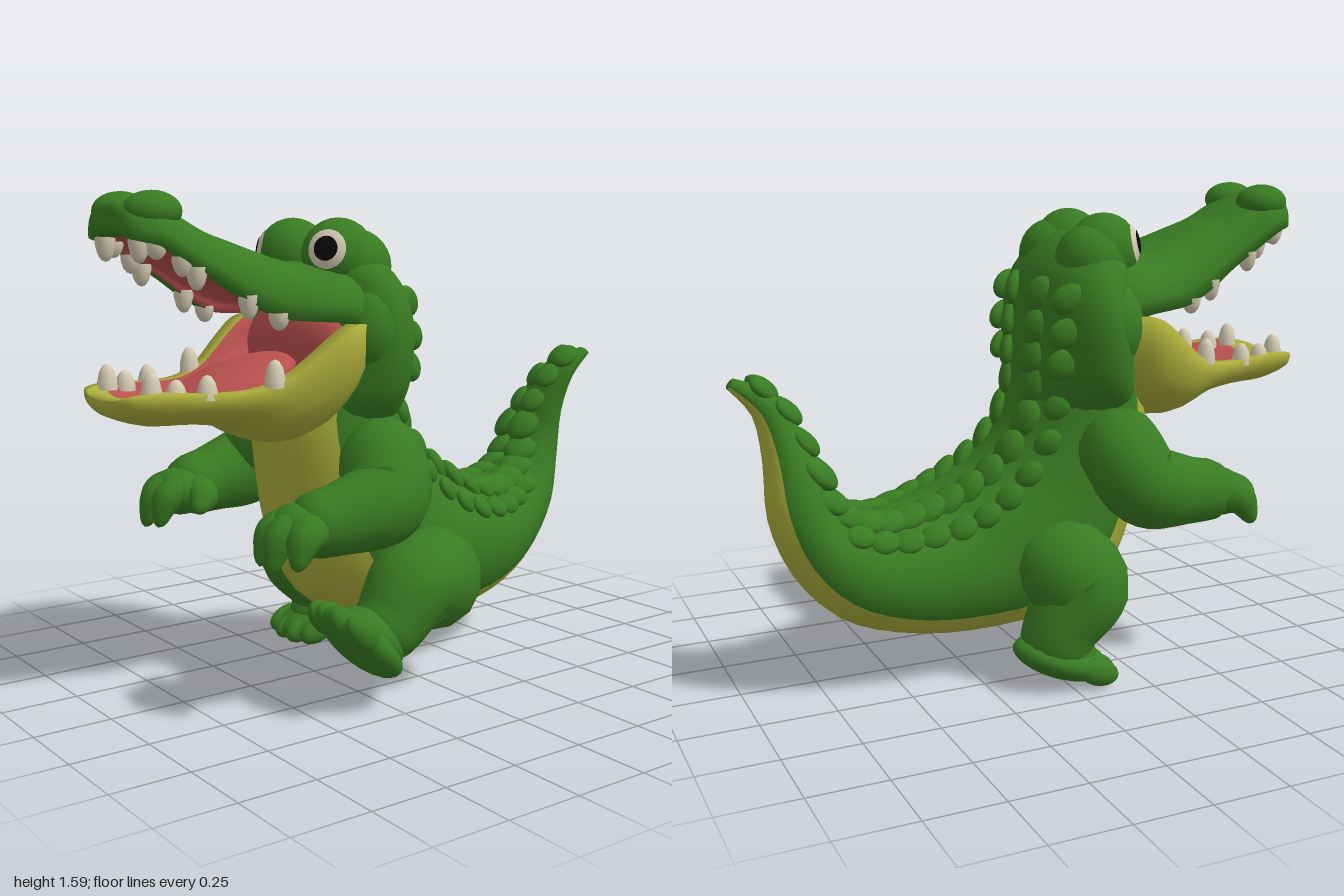
import * as THREE from 'three';
import { mergeVertices } from 'three/addons/utils/BufferGeometryUtils.js';

const mat = (name, color) => Object.assign(new THREE.MeshStandardMaterial({ color }), { name });
const V = (x, y, z) => new THREE.Vector3(x, y, z);

export function createModel() {
  const root = new THREE.Group();
  root.name = 'alligator';
  const green = mat('green skin', 0x397b22), yellow = mat('yellow belly', 0xacae3b),
    red = mat('red mouth', 0xb9504e), ivory = mat('ivory', 0xd6ccb4), black = mat('black', 0x0a0a0a);

  const add = (name, geo, material, parent = root) => {
    const m = new THREE.Mesh(geo, material);
    m.name = name;
    parent.add(m);
    return m;
  };
  const ball = (name, p, s, material, parent) => {
    const m = add(name, new THREE.SphereGeometry(1, 20, 14), material, parent);
    m.position.set(...p);
    m.scale.set(...s);
    return m;
  };

  // Smooth interpolation of table rows at a fractional row index
  const rowAt = (rows, t) => {
    const last = rows.length - 1, i = Math.min(Math.floor(t), last - 1), f = t - i;
    const at = k => rows[Math.max(0, Math.min(last, k))];
    return rows[0].map((_, k) => {
      const a = at(i - 1)[k], b = at(i)[k], c = at(i + 1)[k], d = at(i + 2)[k];
      return b + 0.5 * f * (c - a + f * (2 * a - 5 * b + 4 * c - d + f * (3 * (b - c) + d - a)));
    });
  };
  const ringsOf = (rows, ring, steps = 3) => {
    const n = (rows.length - 1) * steps;
    return Array.from({ length: n + 1 }, (_, i) => ring(rowAt(rows, i / steps)));
  };

  // Skin over closed rings; isSecond picks the faces of the second material
  const loft = (rings, isSecond = () => false) => {
    const n = rings[0].length, pts = rings.flat(), sets = [[], []];
    for (let i = 0; i < rings.length - 1; i++) for (let j = 0; j < n; j++) {
      const k = (j + 1) % n, a = i * n + j, b = i * n + k, c = a + n, d = b + n;
      sets[isSecond(j, i) ? 1 : 0].push(a, b, c, b, d, c);
    }
    [0, rings.length - 1].forEach((i, end) => {
      const mid = rings[i].reduce((s, p) => s.add(p), V(0, 0, 0)).divideScalar(n);
      pts.push(mid);
      for (let j = 0; j < n; j++) {
        const a = i * n + j, b = i * n + (j + 1) % n, c = pts.length - 1;
        sets[0].push(...(end ? [a, b, c] : [b, a, c]));
      }
    });
    const index = sets.flat();
    let volume = 0;
    for (let i = 0; i < index.length; i += 3)
      volume += pts[index[i]].dot(V(0, 0, 0).crossVectors(pts[index[i + 1]], pts[index[i + 2]]));
    if (volume < 0) for (let i = 0; i < index.length; i += 3)
      [index[i], index[i + 1]] = [index[i + 1], index[i]];
    const g = new THREE.BufferGeometry().setFromPoints(pts);
    g.setIndex(index);
    g.addGroup(0, sets[0].length, 0);
    g.addGroup(sets[0].length, sets[1].length, 1);
    g.computeVertexNormals();
    return g;
  };

  // Ellipse spanning a back point and a belly point: [zBack, yBack, zBelly, yBelly, halfWidth, x]
  const SEG = 24;
  const onEllipse = ([zb, yb, zf, yf, w, x], a) => V(x + w * Math.sin(a),
    (yb + yf) / 2 + (yb - yf) / 2 * Math.cos(a), (zb + zf) / 2 + (zb - zf) / 2 * Math.cos(a));
  const ellipse = row => Array.from({ length: SEG }, (_, j) => onEllipse(row, j / SEG * Math.PI * 2));

  // Trunk and tail
  const bodyRows = [
    [0.02, 1.10, 0.38, 1.00, 0.26, 0], [-0.02, 0.97, 0.43, 0.87, 0.27, 0],
    [-0.07, 0.82, 0.42, 0.70, 0.29, 0], [-0.17, 0.71, 0.38, 0.47, 0.30, 0],
    [-0.27, 0.65, 0.28, 0.27, 0.31, 0], [-0.36, 0.61, 0.06, 0.15, 0.30, 0],
    [-0.45, 0.59, -0.25, 0.13, 0.27, -0.02], [-0.54, 0.58, -0.50, 0.17, 0.23, -0.05],
    [-0.63, 0.60, -0.70, 0.26, 0.19, -0.08], [-0.71, 0.65, -0.84, 0.42, 0.16, -0.1],
    [-0.75, 0.76, -0.91, 0.60, 0.125, -0.11], [-0.79, 0.88, -0.91, 0.78, 0.09, -0.07],
    [-0.86, 0.995, -0.925, 0.92, 0.065, -0.02], [-0.97, 1.04, -0.995, 1.01, 0.025, 0.015]];
  add('trunkAndTail', loft(ringsOf(bodyRows, ellipse), j => Math.cos((j + 0.5) / SEG * Math.PI * 2) < -0.5),
    [green, yellow]);

  // Skull
  const skullRows = [
    [0.16, 1.46, 0.26, 1.44, 0.1, 0], [0.09, 1.41, 0.32, 1.37, 0.25, 0],
    [0.03, 1.33, 0.32, 1.28, 0.33, 0], [0.0, 1.22, 0.33, 1.17, 0.37, 0],
    [-0.01, 1.10, 0.34, 1.04, 0.365, 0], [-0.02, 1.0, 0.36, 0.93, 0.33, 0],
    [-0.03, 0.9, 0.36, 0.85, 0.25, 0]];
  add('skull', loft(ringsOf(skullRows, ellipse)), green);
  for (const s of [1, -1]) ball('cheek', [s * 0.24, 1.17, 0.2], [0.125, 0.15, 0.11], green);

  // Jaws: hollow troughs with rows [z, lip y, outer y, inner y, halfWidth]
  const ARC = 16;
  const trough = ([z, lip, out, inn, w]) => {
    const half = (width, y, dir) => Array.from({ length: ARC + 1 }, (_, j) => {
      const a = (dir > 0 ? j : ARC - j) / ARC * Math.PI, c = Math.cos(a);
      return V(width * Math.sign(c) * Math.abs(c) ** 0.8, lip + (y - lip) * Math.abs(Math.sin(a)) ** 0.8, z);
    });
    return [...half(w, out, 1), ...half(w * 0.8, inn, -1)];
  };
  const inside = (j, i) => j > ARC && j < 2 * ARC + 1 && i > 4;
  const upperRows = [
    [0.975, 1.485, 1.545, 1.49, 0.08], [0.955, 1.46, 1.57, 1.47, 0.15], [0.88, 1.44, 1.575, 1.46, 0.195],
    [0.8, 1.39, 1.545, 1.43, 0.2], [0.7, 1.33, 1.49, 1.38, 0.21], [0.6, 1.265, 1.455, 1.34, 0.23],
    [0.5, 1.22, 1.42, 1.31, 0.255], [0.4, 1.21, 1.39, 1.28, 0.29], [0.3, 1.20, 1.385, 1.25, 0.315],
    [0.2, 1.16, 1.40, 1.20, 0.31]];
  const lowerRows = [
    [1.0, 0.995, 0.97, 0.99, 0.1], [0.975, 1.01, 0.935, 1.0, 0.165], [0.88, 1.02, 0.905, 0.97, 0.195],
    [0.75, 1.01, 0.90, 0.95, 0.22], [0.62, 1.015, 0.88, 0.95, 0.26], [0.52, 1.05, 0.83, 0.97, 0.3],
    [0.43, 1.12, 0.82, 0.98, 0.335], [0.34, 1.19, 0.85, 1.0, 0.355], [0.27, 1.2, 0.9, 1.02, 0.33],
    [0.2, 1.18, 0.94, 1.04, 0.29]];
  add('upperJaw', loft(ringsOf(upperRows, trough), inside), [green, red]);
  add('lowerJaw', loft(ringsOf(lowerRows, trough), inside), [yellow, red]);
  ball('throat', [0, 1.11, 0.29], [0.3, 0.16, 0.1], red);
  ball('tongue', [0, 1.01, 0.56], [0.185, 0.055, 0.23], red).rotation.x = 0.33;

  // Limb swept along a curve with varying radius and rounded ends
  const limb = (name, points, radii) => {
    const n = 28, seg = 14, curve = new THREE.CatmullRomCurve3(points.map(p => V(...p)));
    const g = new THREE.TubeGeometry(curve, n, 1, seg), pos = g.attributes.position, p = V(0, 0, 0);
    for (let i = 0; i <= n; i++) {
      const t = i / n, c = curve.getPointAt(t), e = Math.min(1, Math.min(t, 1 - t) / 0.15);
      const r = rowAt(radii.map(v => [v]), t * (radii.length - 1))[0] * Math.sqrt(1 - (1 - e) ** 2) + 0.0005;
      for (let j = 0; j <= seg; j++) {
        const k = i * (seg + 1) + j;
        p.fromBufferAttribute(pos, k).sub(c).multiplyScalar(r).add(c);
        pos.setXYZ(k, p.x, p.y, p.z);
      }
    }
    g.deleteAttribute('uv');
    g.deleteAttribute('normal');
    const merged = mergeVertices(g, 1e-5);
    merged.computeVertexNormals();
    return add(name, merged, green);
  };

  // Paired parts
  const tooth = (name, [x, y, z], h, r, down) => {
    const m = add(name, new THREE.LatheGeometry([[1, 0], [0.98, 0.3], [0.75, 0.7], [0.4, 0.93], [0, 1]]
      .map(([a, b]) => new THREE.Vector2(a * r, b * h)), 10), ivory);
    m.position.set(x, y, z);
    if (down) m.rotation.x = Math.PI;
  };
  for (const s of [1, -1]) {
    const side = s > 0 ? 'left' : 'right';
    // Brow bump, eye and pupil
    const eye = new THREE.Group();
    eye.name = side + 'Eye';
    eye.position.set(s * 0.13, 1.405, 0.235);
    root.add(eye);
    ball('brow', [0, 0, 0], [0.118, 0.118, 0.118], green, eye);
    ball('browBase', [s * 0.01, -0.035, -0.05], [0.125, 0.12, 0.12], green, eye);
    const look = new THREE.Quaternion().setFromUnitVectors(V(0, 1, 0), V(s * 0.56, 0.2, 0.8).normalize());
    add('eyeWhite', new THREE.SphereGeometry(0.121, 24, 8, 0, Math.PI * 2, 0, 0.54), ivory, eye).quaternion.copy(look);
    add('pupil', new THREE.SphereGeometry(0.124, 20, 6, 0, Math.PI * 2, 0, 0.32), black, eye).quaternion.copy(look);
    ball(side + 'Nostril', [s * 0.1, 1.54, 0.87], [0.08, 0.06, 0.09], green);

    // Teeth
    [[0.11, 1.465, 0.92, 0.075], [0.14, 1.45, 0.88, 0.05], [0.165, 1.41, 0.81, 0.06], [0.175, 1.38, 0.77, 0.07],
      [0.2, 1.295, 0.61, 0.075], [0.225, 1.24, 0.52, 0.055]]
      .forEach(([x, y, z, h]) => tooth('upperTooth', [s * x, y, z], h, 0.032, true));
    [[0.145, 1.0, 0.91, 0.08], [0.165, 0.99, 0.84, 0.065], [0.19, 0.99, 0.75, 0.075], [0.262, 1.02, 0.56, 0.085]]
      .forEach(([x, y, z, h]) => tooth('lowerTooth', [s * x, y, z], h, 0.032, false));

    // Arm, palm and pointed fingers
    limb(side + 'Arm', [[s * 0.22, 0.82, 0.2], [s * 0.33, 0.76, 0.21], [s * 0.395, 0.67, 0.25],
      [s * 0.4, 0.63, 0.4], [s * 0.37, 0.61, 0.58]], [0.13, 0.14, 0.135, 0.11, 0.1]);
    ball(side + 'Palm', [s * 0.37, 0.605, 0.55], [0.115, 0.08, 0.09], green);
    [[0.32, 0.21, 0.56, 0.57], [0.33, 0.32, 0.5, 0.66], [0.38, 0.395, 0.49, 0.67], [0.42, 0.475, 0.51, 0.63]]
      .forEach(([x0, x1, y, z]) => limb(side + 'Finger',
        [[s * x0, 0.61, 0.52], [s * (x0 + x1) / 2, 0.6, z - 0.05], [s * x1, y, z]], [0.06, 0.052, 0.02]));
  }

  // Legs: left one raised, right one planted
  const foot = (name, p, pitch) => {
    const f = new THREE.Group();
    f.name = name;
    f.position.set(...p);
    f.rotation.x = pitch;
    root.add(f);
    ball('sole', [0, 0, 0], [0.13, 0.065, 0.175], green, f);
    ball('instep', [0, 0.035, -0.02], [0.11, 0.07, 0.13], green, f);
    [-0.1, -0.035, 0.035, 0.1].forEach(x =>
      ball('toe', [x, 0, 0.12 - Math.abs(x) * 0.3], [0.035, 0.045, 0.075], green, f));
  };
  limb('leftLeg', [[0.2, 0.36, -0.05], [0.31, 0.36, 0.0], [0.37, 0.37, 0.12], [0.385, 0.27, 0.22], [0.39, 0.19, 0.31]],
    [0.15, 0.17, 0.145, 0.12, 0.1]);
  foot('leftFoot', [0.39, 0.225, 0.34], -0.78);
  limb('rightLeg', [[-0.2, 0.36, -0.03], [-0.3, 0.38, 0.02], [-0.335, 0.33, 0.07], [-0.335, 0.2, -0.01], [-0.335, 0.07, -0.06]],
    [0.15, 0.165, 0.145, 0.125, 0.11]);
  foot('rightFoot', [-0.335, 0.09, -0.01], 0.33);

  // Low back scutes mostly sunk into the trunk, tail and skull
  const scute = (rows, t, a, size) => {
    const row = rowAt(rows, t), p = onEllipse(row, a), c = onEllipse(row, 0).add(onEllipse(row, Math.PI)).multiplyScalar(0.5);
    const m = ball('scute', p.toArray(), [size, size * 0.6, size * 1.3], green);
    m.quaternion.setFromUnitVectors(V(0, 1, 0), p.sub(c).normalize());
  };
  for (let t = 1; t < 12.3; t += 0.75) for (const s of [1, -1]) {
    scute(bodyRows, t, s * 0.38, t > 10 ? 0.042 : 0.055);
    if (t < 8) scute(bodyRows, t + 0.35, s * 0.8, 0.04);
  }
  for (const t of [2.6, 3.5, 4.4]) for (const a of [-0.75, -0.28, 0.28, 0.75]) scute(skullRows, t, a, 0.048);

  return root;
}
